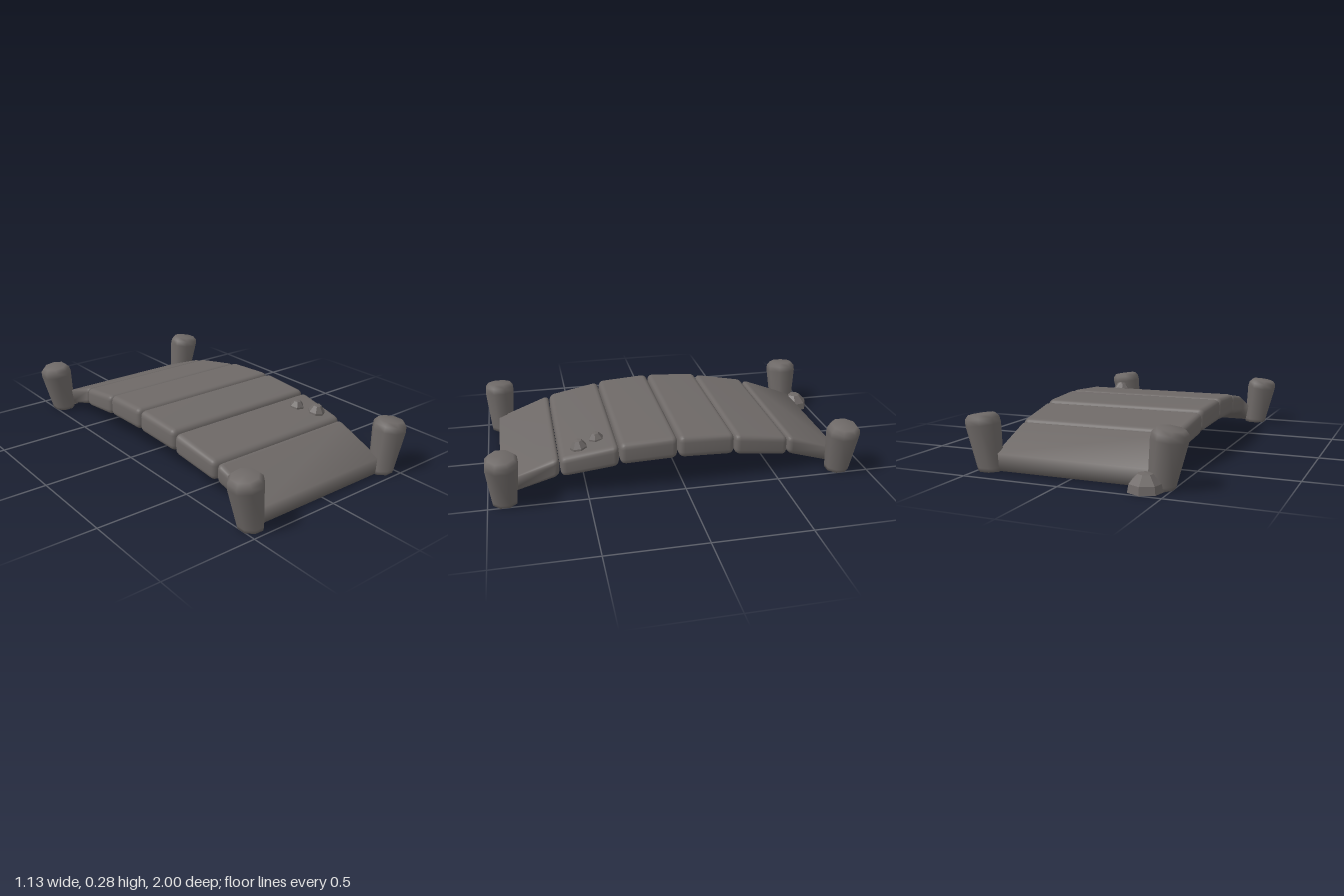
import * as THREE from 'three';
import { mergeVertices } from 'three/addons/utils/BufferGeometryUtils.js';
import { RoundedBoxGeometry } from 'three/addons/geometries/RoundedBoxGeometry.js';

const MID_Z = 0.03; // centre of the arch along z

// Merge shared corners so that edges shade softly
function soften(geo) {
  geo.deleteAttribute('uv');
  geo.deleteAttribute('normal');
  const g = mergeVertices(geo, 1e-4);
  g.computeVertexNormals();
  return g;
}

// Rounded slab fitted between an inner and an outer end: { z, bottom, top, half }
function slabGeometry(inner, outer, sharpEnd) {
  const hx = 0.43, hy = 0.055, hz = 0.148, r = 0.03;
  const geo = new RoundedBoxGeometry(hx * 2, hy * 2, hz * 2, 2, r);
  const p = geo.attributes.position;
  const lerp = THREE.MathUtils.lerp;
  for (let i = 0; i < p.count; i++) {
    let u = p.getX(i) / hx, v = p.getY(i) / hy, w = p.getZ(i) / hz;
    if (sharpEnd && w > 1 - r / hz - 0.001) {
      u = Math.sign(u);
      v = Math.sign(v);
      w = 1;
    }
    const t = (w + 1) / 2, s = (v + 1) / 2;
    const bottom = lerp(inner.bottom, outer.bottom, t);
    const top = lerp(inner.top, outer.top, t);
    const half = lerp(inner.half, outer.half, t);
    const narrow = sharpEnd ? 0.02 * t * (1 - s) : 0;
    p.setXYZ(i, u * (half - narrow), lerp(bottom, top, s), lerp(inner.z, outer.z, t));
  }
  return soften(geo);
}

// Tapered eight-sided post that leans towards +x
function postGeometry() {
  const profile = [[0, 0], [0.063, 0], [0.066, 0.02], [0.087, 0.225], [0.084, 0.255], [0.066, 0.275], [0, 0.277]]
    .map(([x, y]) => new THREE.Vector2(x, y));
  const geo = new THREE.LatheGeometry(profile, 8, Math.PI / 8);
  const p = geo.attributes.position;
  for (let i = 0; i < p.count; i++) {
    const x = p.getX(i), y = p.getY(i);
    p.setXYZ(i, x + y * 0.16 - 0.035, y - x * 0.14 * (y / 0.277), p.getZ(i));
  }
  return soften(geo);
}

// Faceted pebble with a flat base
function rockGeometry(radius, height, sides, turn) {
  const profile = [[0, 0], [1, 0], [0.92, 0.45], [0.45, 0.95], [0, 1]]
    .map(([x, y]) => new THREE.Vector2(x * radius, y * height));
  const geo = new THREE.LatheGeometry(profile, sides, turn).toNonIndexed();
  geo.computeVertexNormals();
  return geo;
}

export function createModel() {
  const model = new THREE.Group();
  const stone = new THREE.MeshStandardMaterial({ color: 0x6e6967 });
  stone.name = 'stone';

  const add = (name, geo, x, y, z, turn = 0) => {
    const mesh = new THREE.Mesh(geo, stone);
    mesh.name = name;
    mesh.position.set(x, y, z);
    mesh.rotation.y = turn;
    model.add(mesh);
    return mesh;
  };

  // Arched deck: three slabs, turned around for the other half
  const slabs = [
    ['middleSlab', { z: 0.003, bottom: 0.155, top: 0.276, half: 0.46 }, { z: 0.299, bottom: 0.143, top: 0.26, half: 0.453 }, false],
    ['shoulderSlab', { z: 0.303, bottom: 0.138, top: 0.253, half: 0.453 }, { z: 0.598, bottom: 0.096, top: 0.203, half: 0.433 }, false],
    ['endSlab', { z: 0.603, bottom: 0.1, top: 0.203, half: 0.427 }, { z: 0.9, bottom: 0.004, top: 0.088, half: 0.402 }, true],
  ];
  for (const [name, inner, outer, sharp] of slabs) {
    const geo = slabGeometry(inner, outer, sharp);
    add(name + 'Front', geo, 0, 0, MID_Z, 0);
    add(name + 'Back', geo, 0, 0, MID_Z, Math.PI);
  }

  // Corner posts leaning outwards
  const post = postGeometry();
  for (const [end, z] of [['front', 0.914], ['back', -0.85]]) {
    add(end + 'LeftPost', post, 0.48, 0, z, 0);
    add(end + 'RightPost', post, -0.48, 0, z, Math.PI);
  }

  // Loose rocks on the deck and beside the rear post
  const small = add('smallDeckRock', rockGeometry(0.042, 0.052, 6, 0.3), 0.3, 0.22, 0.43);
  const large = add('largeDeckRock', rockGeometry(0.048, 0.065, 7, 0), 0.353, 0.2, 0.525);
  small.rotation.x = large.rotation.x = 0.12;
  add('groundRock', rockGeometry(0.085, 0.085, 7, 0.45), -0.395, 0, -0.918);

  return model;
}
